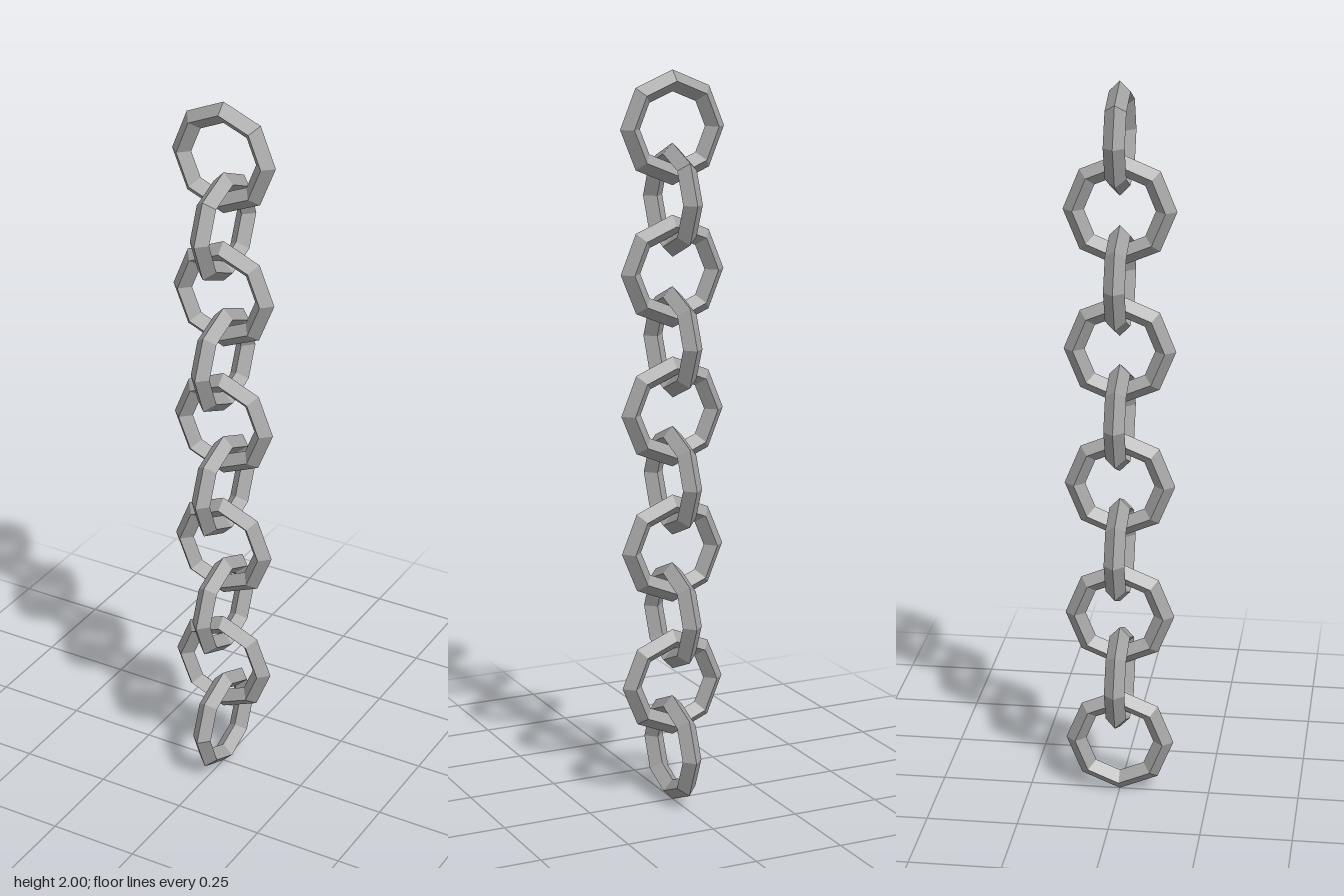
import * as THREE from 'three';

export function createModel() {
  const chain = new THREE.Group();
  chain.name = 'chain';

  const steel = new THREE.MeshStandardMaterial({ color: 0xa3a3a3 });
  steel.name = 'grey steel';
  steel.flatShading = true;

  // Octagonal ring with a diamond cross-section
  const ringRadius = 0.122, tube = 0.028, count = 10;
  const outer = ringRadius + tube;
  const geometry = new THREE.TorusGeometry(ringRadius, tube, 4, 8);
  const step = (2 - 2 * outer) / (count - 1);

  // Links hang from the top down, each turned a quarter from the last
  for (let i = 0; i < count; i++) {
    const link = new THREE.Mesh(geometry, steel);
    link.name = `link${i + 1}`;
    link.position.y = 2 - outer - i * step;
    link.rotation.y = (i % 2) * Math.PI / 2;
    chain.add(link);
  }
  return chain;
}
